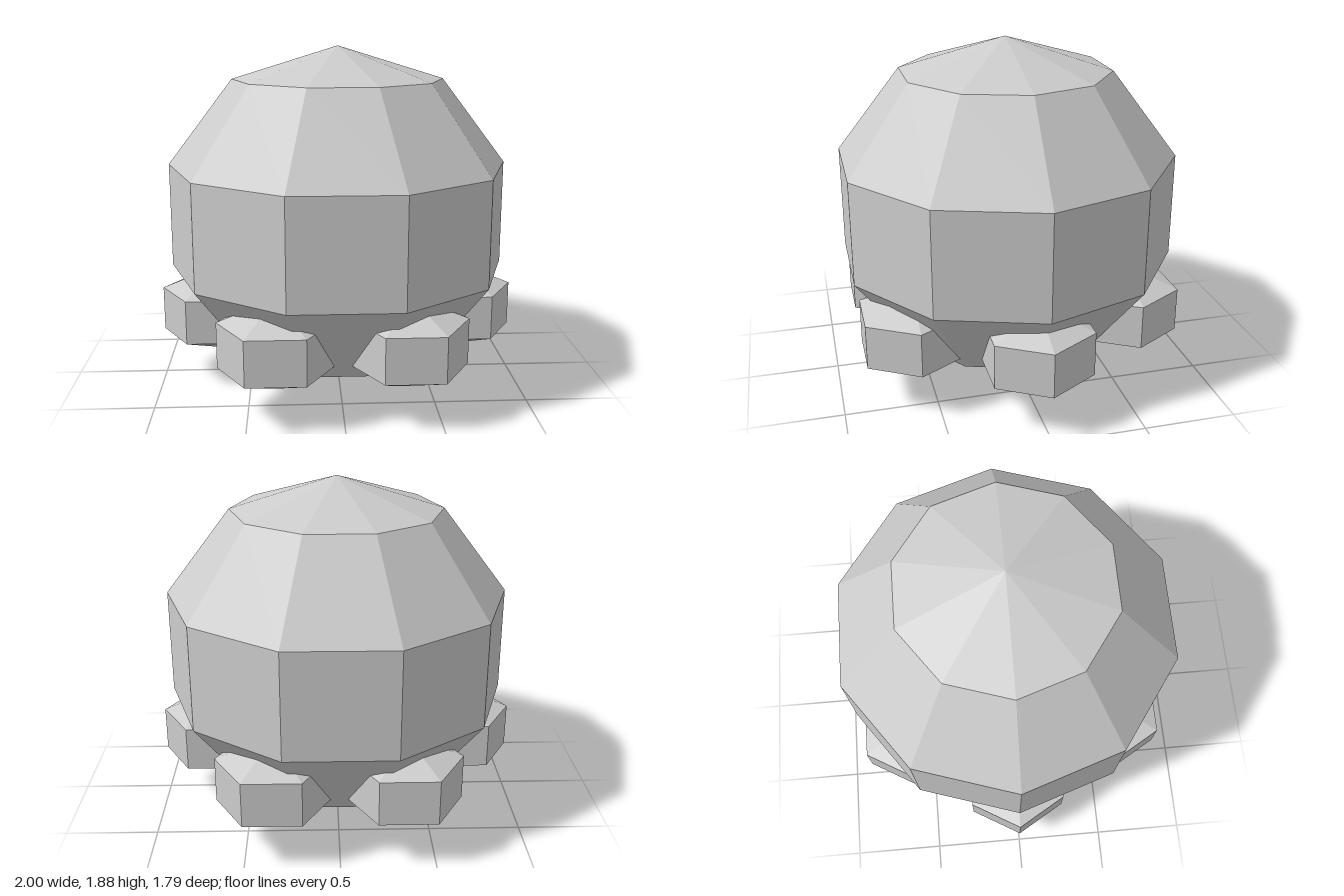
import * as THREE from 'three';

export function createModel() {
  const group = new THREE.Group();
  const grey = new THREE.MeshStandardMaterial({ color: 0xcccccc, flatShading: true });
  grey.name = 'light grey';

  // Faceted ball, slightly squashed in height
  function ball(name, radius, halfHeight, sides, rows, x, y, z) {
    const mesh = new THREE.Mesh(new THREE.SphereGeometry(radius, sides, rows), grey);
    mesh.name = name;
    mesh.scale.y = halfHeight / radius;
    mesh.position.set(x, y, z);
    group.add(mesh);
  }

  // Main body
  ball('body', 0.988, 0.9375, 10, 5, 0, 0.9375, 0);

  // Ring of six feet, all facing the same way
  for (let i = 0; i < 6; i++) {
    const a = (i * Math.PI) / 3;
    ball('foot' + (i + 1), 0.355, 0.246, 6, 3, 0.6925 * Math.cos(a), 0.387, 0.6925 * Math.sin(a));
  }
  return group;
}
